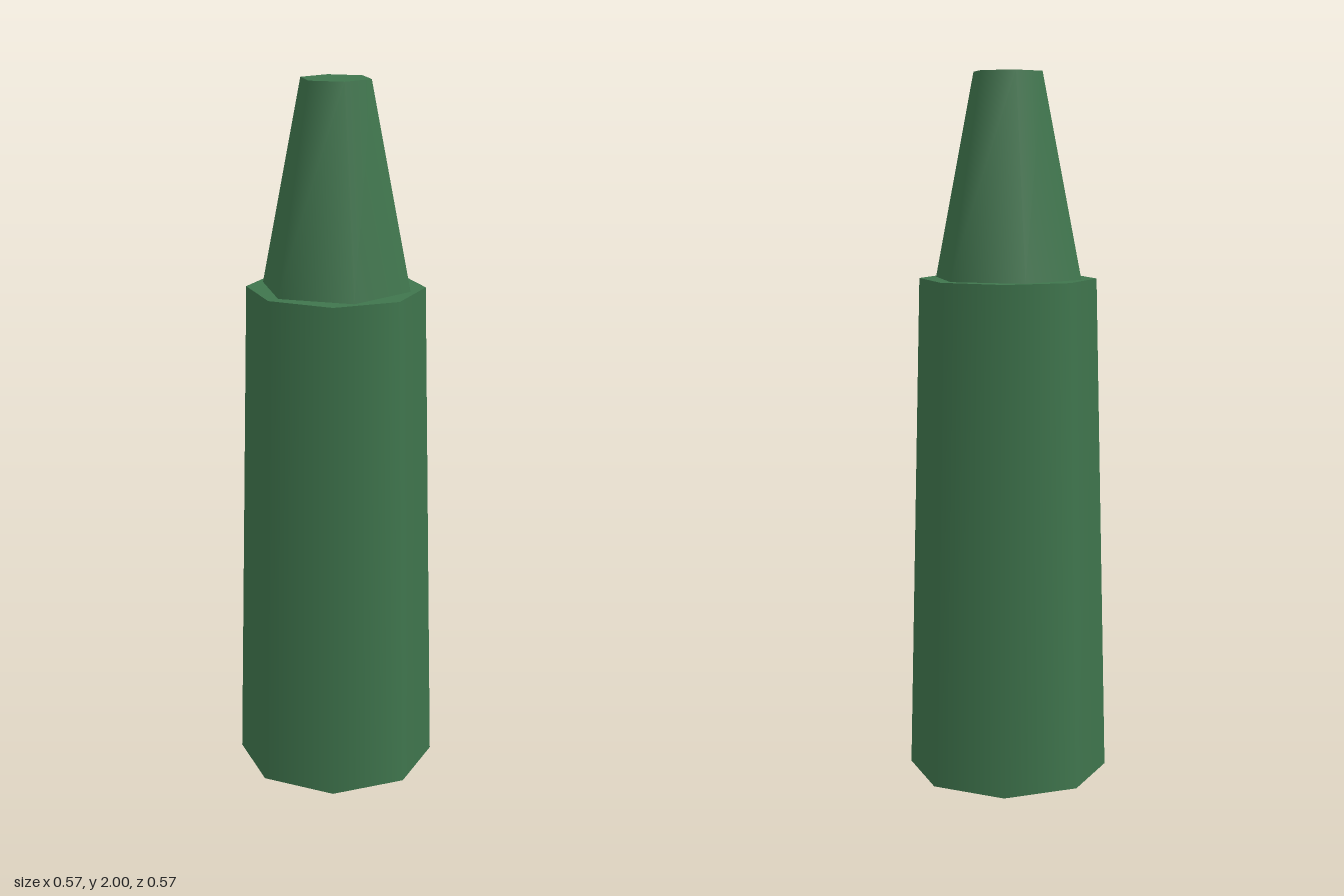
import * as THREE from 'three';

export function createModel() {
  const group = new THREE.Group();
  group.name = 'crayon';

  const green = new THREE.MeshStandardMaterial({ color: 0x3f754d });
  green.name = 'green';

  // Smooth-shaded tapered prism standing on the given height
  function taperedPart(name, topRadius, bottomRadius, bottom, top, sides) {
    const geometry = new THREE.CylinderGeometry(topRadius, bottomRadius, top - bottom, sides);
    const mesh = new THREE.Mesh(geometry, green);
    mesh.name = name;
    mesh.position.y = (bottom + top) / 2;
    group.add(mesh);
  }

  // Eight-sided body and six-sided blunt tip
  taperedPart('body', 0.25, 0.2857, 0, 1.4286, 8);
  taperedPart('tip', 0.1, 0.2143, 1.4286, 2, 6);

  return group;
}
